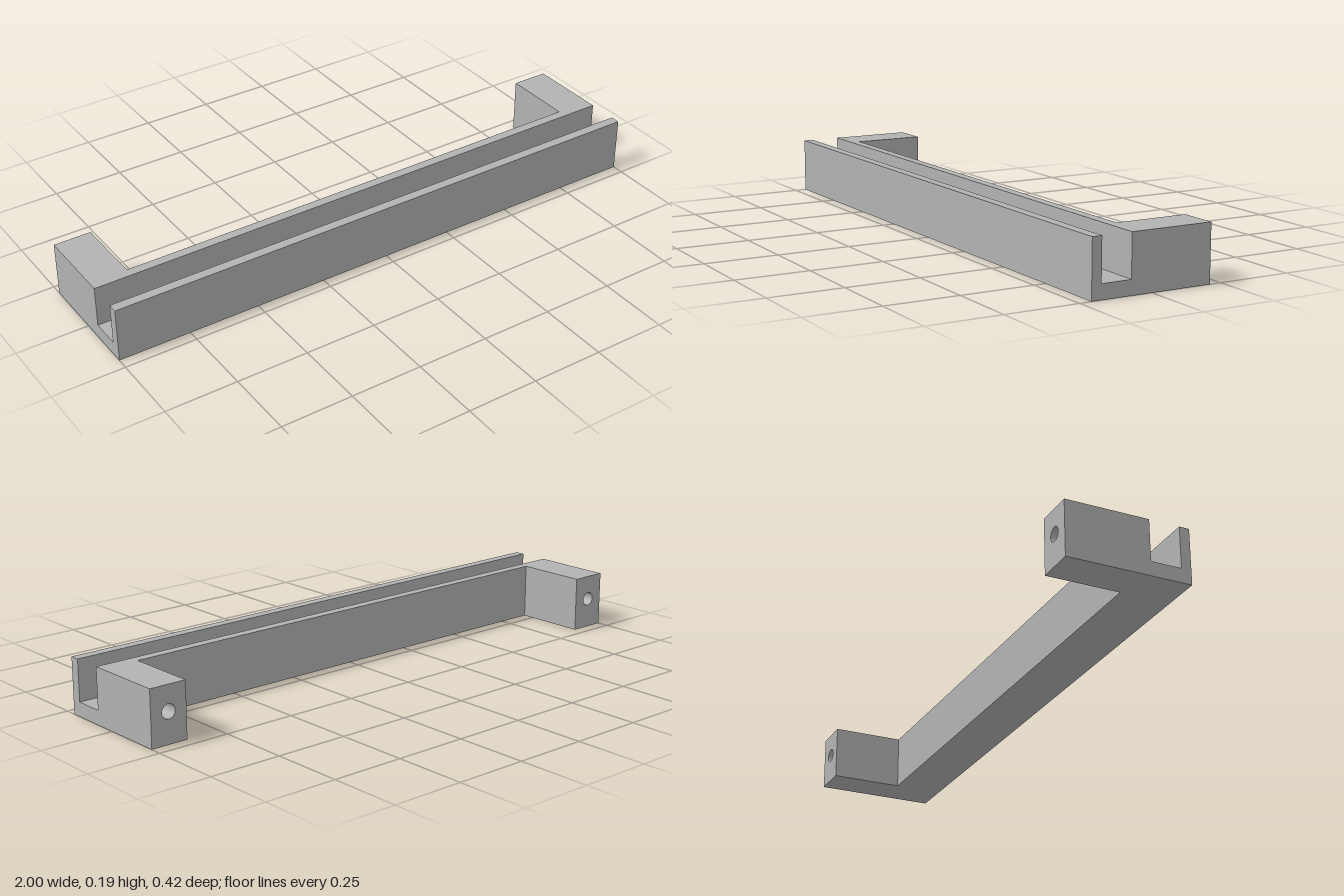
import * as THREE from 'three';

const H = 0.19;            // overall height
const BACK = -0.21;        // rear face of the feet
const RAIL_BACK = 0.04;    // rear face of the rail
const FRONT = 0.21;
const FOOT_W = 0.13;
const HOLE_DEPTH = 0.15;

export function createModel() {
  const model = new THREE.Group();
  model.name = 'groovedRailBracket';
  const grey = new THREE.MeshStandardMaterial({ color: 0xb2b2b2 });
  grey.name = 'grey';

  const add = (name, geometry, parent) => {
    const mesh = new THREE.Mesh(geometry, grey);
    mesh.name = name;
    parent.add(mesh);
    return mesh;
  };

  // Rail: U-shaped section (z, y) swept along x
  const section = new THREE.Shape([
    [RAIL_BACK, 0], [FRONT, 0], [FRONT, H], [0.176, H],
    [0.176, 0.049], [0.073, 0.049], [0.073, H], [RAIL_BACK, H],
  ].map(([z, y]) => new THREE.Vector2(z, y)));
  const railGeo = new THREE.ExtrudeGeometry(section, { depth: 2, bevelEnabled: false });
  railGeo.rotateY(-Math.PI / 2).translate(1, 0, 0);
  add('rail', railGeo, model);

  // Feet: rear blocks with a blind screw hole in the back face
  for (const side of [-1, 1]) {
    const foot = new THREE.Group();
    foot.name = side > 0 ? 'leftFoot' : 'rightFoot';
    foot.position.x = side * (1 - FOOT_W / 2);
    model.add(foot);

    const w = FOOT_W / 2;
    const face = new THREE.Shape([
      new THREE.Vector2(-w, 0), new THREE.Vector2(w, 0),
      new THREE.Vector2(w, H), new THREE.Vector2(-w, H),
    ]);
    face.holes.push(new THREE.Path().absarc(0, 0.105, 0.024, 0, Math.PI * 2, true));
    const drilled = new THREE.ExtrudeGeometry(face, {
      depth: HOLE_DEPTH, bevelEnabled: false, curveSegments: 32,
    });
    drilled.translate(0, 0, BACK);
    add('drilledEnd', drilled, foot);

    const start = BACK + HOLE_DEPTH;
    const length = RAIL_BACK - start;
    const solid = new THREE.BoxGeometry(FOOT_W, H, length);
    solid.translate(0, H / 2, start + length / 2);
    add('solidEnd', solid, foot);
  }

  return model;
}
